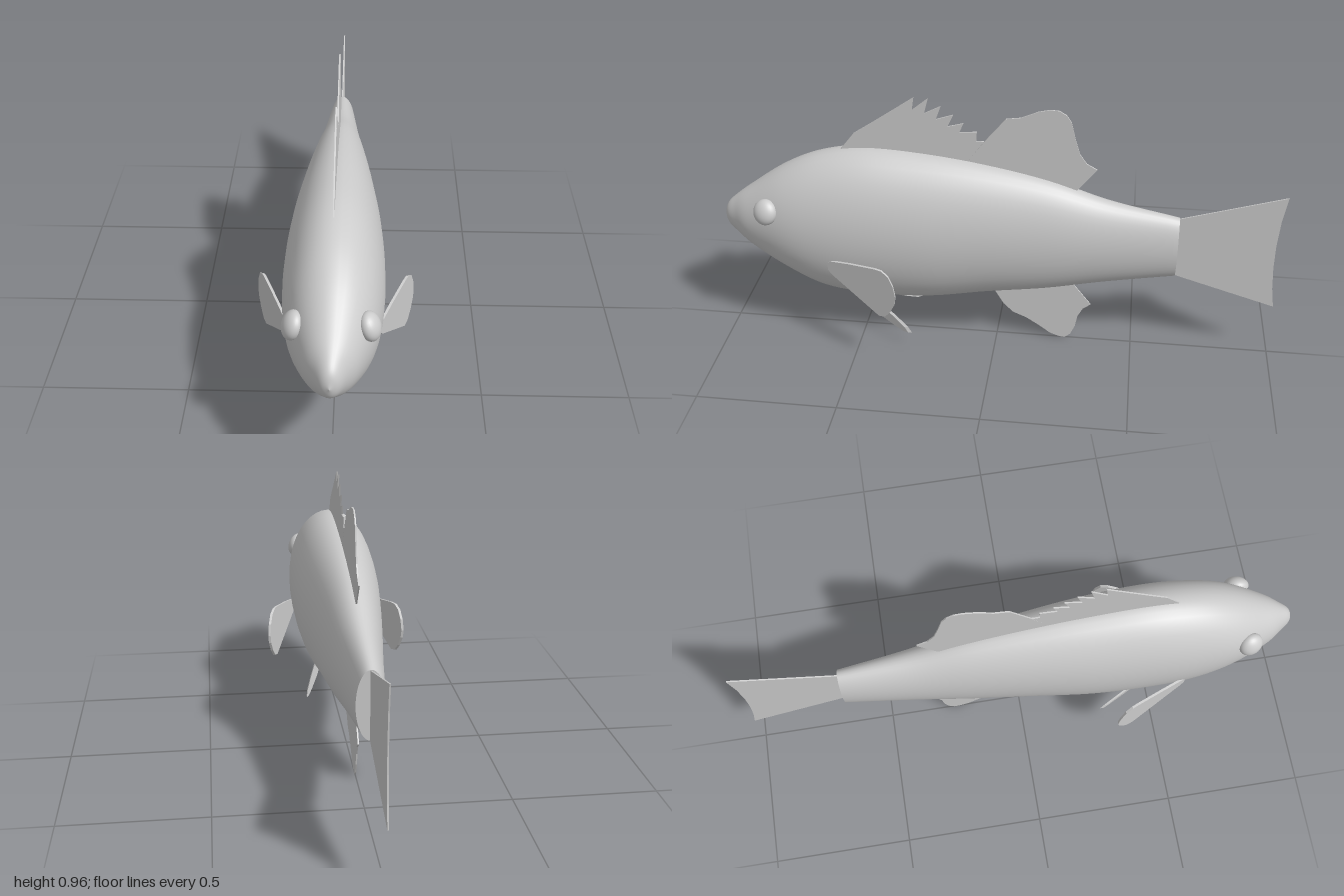
import * as THREE from 'three';

const grey = new THREE.MeshStandardMaterial({ color: 0xcccccc });
grey.name = 'grey';

// Body stations from snout to tail root: z, centre height, half height, half width
const STATIONS = [
  [1, 0.455, 0, 0], [0.985, 0.457, 0.043, 0.027], [0.95, 0.458, 0.077, 0.052],
  [0.89, 0.457, 0.124, 0.09], [0.76, 0.46, 0.21, 0.138], [0.625, 0.457, 0.272, 0.159],
  [0.46, 0.459, 0.297, 0.164], [0.25, 0.455, 0.29, 0.155], [0.035, 0.457, 0.258, 0.132],
  [-0.18, 0.448, 0.22, 0.105], [-0.39, 0.435, 0.165, 0.077], [-0.64, 0.43, 0.118, 0.048],
];

// Elliptical loops joined into one smooth skin
function bodyGeometry(rings = 66, sides = 40) {
  const curve = (pick) => new THREE.CatmullRomCurve3(
    STATIONS.map((s) => new THREE.Vector3(...pick(s))), false, 'catmullrom', 0.5);
  const heights = curve(([z, cy, ry]) => [z, cy, ry]);
  const widths = curve(([z, , , rx]) => [z, 0, rx]);
  const pos = [], idx = [];
  for (let i = 0; i <= rings; i++) {
    const { x: z, y: cy, z: ry } = heights.getPoint(i / rings);
    const rx = widths.getPoint(i / rings).z;
    for (let j = 0; j < sides; j++) {
      const a = (j / sides) * Math.PI * 2;
      pos.push(rx * Math.cos(a), cy + ry * Math.sin(a), z);
      if (i === rings) continue;
      const p = i * sides + j, q = i * sides + ((j + 1) % sides);
      if (i > 0) idx.push(p, p + sides, q);
      idx.push(q, p + sides, q + sides);
    }
  }
  const g = new THREE.BufferGeometry();
  g.setAttribute('position', new THREE.Float32BufferAttribute(pos, 3));
  g.setIndex(idx);
  g.computeVertexNormals();
  return g;
}

// Thin plate: an outline extruded by t, each vertex placed by place(u, v, w)
function plate(outline, t, place) {
  const shape = new THREE.Shape(outline.map(([u, v]) => new THREE.Vector2(u, v)));
  const g = new THREE.ExtrudeGeometry(shape, { depth: t, bevelEnabled: false });
  const p = g.attributes.position;
  for (let i = 0; i < p.count; i++) p.setXYZ(i, ...place(p.getX(i), p.getY(i), p.getZ(i) - t / 2));
  g.computeVertexNormals();
  return g;
}

// Fins on the middle plane, outlined as [z, y]
const MEDIAN_FINS = {
  tailFin: [[-0.62, 0.32], [-0.64, 0.312], [-1, 0.204], [-0.988, 0.28], [-0.981, 0.37],
    [-0.98, 0.46], [-0.986, 0.56], [-1, 0.653], [-0.64, 0.545], [-0.62, 0.54]],
  spinyDorsalFin: [[0.56, 0.7], [0.555, 0.74], [0.5, 0.81], [0.44, 0.85], [0.36, 0.905],
    [0.285, 0.957], [0.292, 0.91], [0.235, 0.957], [0.25, 0.9], [0.192, 0.93], [0.21, 0.88],
    [0.15, 0.9], [0.17, 0.855], [0.115, 0.87], [0.13, 0.835], [0.07, 0.84], [0.072, 0.805],
    [0.045, 0.805], [0.1, 0.73], [0.1, 0.68], [0.3, 0.7]],
  softDorsalFin: [[0.1, 0.68], [0.1, 0.73], [0.04, 0.81], [-0.03, 0.895], [-0.08, 0.902],
    [-0.14, 0.928], [-0.18, 0.937], [-0.21, 0.935], [-0.235, 0.92], [-0.252, 0.895],
    [-0.268, 0.83], [-0.285, 0.775], [-0.31, 0.74], [-0.346, 0.72], [-0.275, 0.63], [-0.1, 0.64]],
  analFin: [[0.04, 0.24], [0.013, 0.2], [-0.025, 0.135], [-0.06, 0.1], [-0.11, 0.078],
    [-0.16, 0.045], [-0.2, 0.015], [-0.235, 0.002], [-0.255, 0], [-0.276, 0.017],
    [-0.292, 0.055], [-0.3, 0.1], [-0.318, 0.135], [-0.346, 0.157], [-0.265, 0.26], [-0.1, 0.28]],
};

// Side fin outlines: pectoral as [z, y], pelvic as [x, y]
const PECTORAL = [[0.59, 0.335], [0.575, 0.32], [0.394, 0.21], [0.37, 0.215], [0.348, 0.243],
  [0.33, 0.28], [0.325, 0.312], [0.333, 0.355], [0.35, 0.39], [0.375, 0.405], [0.4, 0.405],
  [0.5, 0.39], [0.575, 0.375], [0.59, 0.365]];
const PELVIC = [[0.03, 0.18], [0.03, 0.163], [0.068, 0.098], [0.095, 0.068], [0.111, 0.055],
  [0.12, 0.057], [0.116, 0.078], [0.1, 0.112], [0.082, 0.142], [0.066, 0.164], [0.06, 0.18]];

export function createModel() {
  const model = new THREE.Group();
  model.name = 'fish';
  const add = (name, geometry) => {
    const mesh = new THREE.Mesh(geometry, grey);
    mesh.name = name;
    model.add(mesh);
    return mesh;
  };

  // Body and the flat end behind it
  add('body', bodyGeometry());
  const end = add('tailRoot', new THREE.CircleGeometry(1, 40).rotateY(Math.PI));
  end.scale.set(0.048, 0.118, 1);
  end.position.set(0, 0.43, -0.64);

  for (const [name, outline] of Object.entries(MEDIAN_FINS)) {
    add(name, plate(outline, 0.005, (u, v, w) => [-w, v, u]));
  }

  // Paired fins and eyes
  for (const s of [1, -1]) {
    const side = s > 0 ? 'left' : 'right';
    add(side + 'PectoralFin', plate(PECTORAL, 0.009,
      (u, v, w) => [s * (0.16 + 0.425 * (0.56 - u)) - w, v, u]));
    add(side + 'PelvicFin', plate(PELVIC, 0.015,
      (u, v, w) => [s * u, v, 0.53 - 2.14 * (u - 0.03) + 0.257 * (v - 0.165) + s * w]));
    const eye = add(side + 'Eye', new THREE.SphereGeometry(1, 28, 18));
    eye.scale.set(0.031, 0.047, 0.044);
    eye.position.set(s * 0.115, 0.537, 0.81);
    eye.rotation.set(0, -s * 0.25, s * 0.35);
  }
  return model;
}
